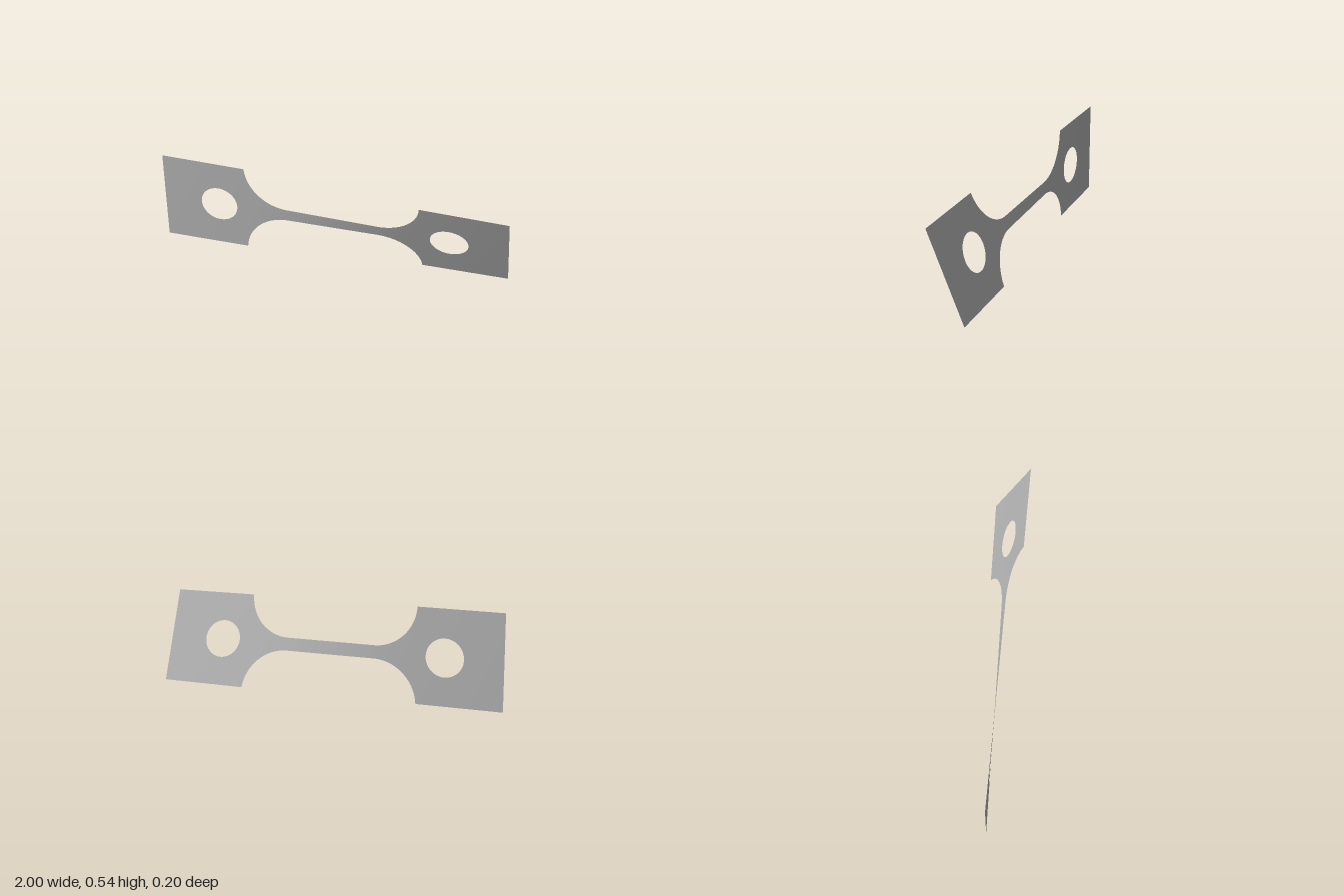
import * as THREE from 'three';

const TAB_H = 0.271;    // half height of the tabs
const STEM_H = 0.037;   // half height of the narrow stem
const TAB_X = 0.51;     // where the tabs begin
const STEM_X = 0.2605;  // where the fillets begin
const FILLET = 0.25;
const HOLE_X = 0.67, HOLE_R = 0.108;
const TWIST = THREE.MathUtils.degToRad(21.7);

// half height of the flat strip at x
function halfHeight(x) {
  const a = Math.abs(x);
  if (a >= TAB_X) return TAB_H;
  const d = Math.max(0, a - STEM_X);
  return STEM_H + FILLET - Math.sqrt(FILLET * FILLET - d * d);
}

// twist grows fastest where the strip is narrow
const STEPS = 800;
const twistSum = [0];
for (let i = 0; i < STEPS; i++) {
  twistSum.push(twistSum[i] + 1 / halfHeight(-1 + (2 * (i + 0.5)) / STEPS));
}
function twistAt(x) {
  const t = THREE.MathUtils.clamp((x + 1) / 2, 0, 1) * STEPS;
  const i = Math.min(STEPS - 1, Math.floor(t));
  return TWIST * THREE.MathUtils.lerp(twistSum[i], twistSum[i + 1], t - i) / twistSum[STEPS];
}

// grid sheet: place(u, v) gives the flat [x, y], then it is twisted about the x axis
function twistedSheet(name, nu, nv, place, material) {
  const geo = new THREE.PlaneGeometry(1, 1, nu, nv);
  const pos = geo.attributes.position;
  for (let i = 0; i < pos.count; i++) {
    const [x, y] = place(pos.getX(i) + 0.5, pos.getY(i) + 0.5);
    const a = twistAt(x);
    pos.setXYZ(i, x, TAB_H + y * Math.cos(a), y * Math.sin(a));
  }
  geo.computeVertexNormals();
  const mesh = new THREE.Mesh(geo, material);
  mesh.name = name;
  return mesh;
}

// tab: rings running from the round hole out to the rectangular edge
function tabPlace(side) {
  const x0 = side > 0 ? TAB_X : -1, x1 = side > 0 ? 1 : -TAB_X;
  const corners = [[x1, -TAB_H], [x1, TAB_H], [x0, TAB_H], [x0, -TAB_H]];
  const cx = side * HOLE_X;
  return (u, v) => {
    const s = v * 4, k = Math.min(3, Math.floor(s + 1e-6)), f = s - k;
    const [ax, ay] = corners[k], [bx, by] = corners[(k + 1) % 4];
    const ox = ax + (bx - ax) * f, oy = ay + (by - ay) * f;
    const angle = Math.atan2(oy, ox - cx);
    return [
      THREE.MathUtils.lerp(cx + HOLE_R * Math.cos(angle), ox, u),
      THREE.MathUtils.lerp(HOLE_R * Math.sin(angle), oy, u),
    ];
  };
}

// stem and fillets: columns, spaced by angle along the fillet arcs
function stemPlace(u, v) {
  const s = u * 2 - 1, a = Math.abs(s), split = 0.4;
  const end = Math.asin((TAB_X - STEM_X) / FILLET);
  const ax = a < split
    ? (STEM_X * a) / split
    : STEM_X + FILLET * Math.sin((end * (a - split)) / (1 - split));
  const x = Math.sign(s) * ax;
  return [x, (v * 2 - 1) * halfHeight(x)];
}

export function createModel() {
  const group = new THREE.Group();
  group.name = 'twistedSpecimen';
  const grey = new THREE.MeshStandardMaterial({ color: 0xb2b2b2, side: THREE.DoubleSide });
  grey.name = 'plain grey';

  group.add(twistedSheet('rightTab', 10, 96, tabPlace(-1), grey));
  group.add(twistedSheet('leftTab', 10, 96, tabPlace(1), grey));
  group.add(twistedSheet('stem', 100, 8, stemPlace, grey));
  return group;
}
